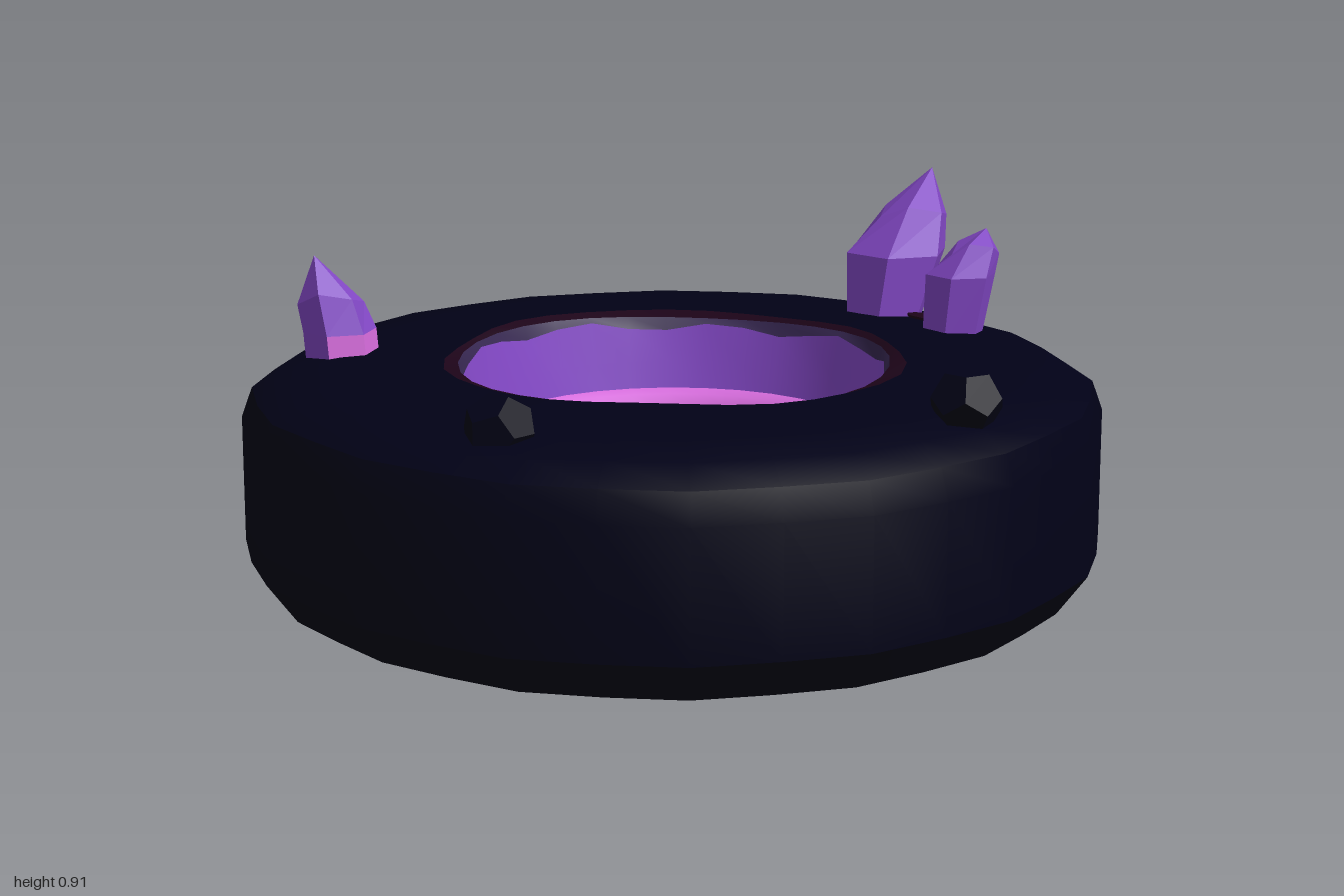
import * as THREE from 'three';
import { toCreasedNormals } from 'three/addons/utils/BufferGeometryUtils.js';

const SEGMENTS = 32;

function material(name, color) {
  const m = new THREE.MeshStandardMaterial({ color });
  m.name = name;
  return m;
}

// Smooth bump around a direction on the ring, 1 at its centre.
function bump(angle, centre, width) {
  const d = Math.atan2(Math.sin(angle - centre), Math.cos(angle - centre));
  return Math.exp(-((d / width) ** 2));
}

// Radius of the sloping lower wall at a height.
const wallRadius = (y) => 0.399 + 0.09 * y;

// Uneven, hand-hewn surface: faceted outside, ragged paint borders, slight waviness.
function weather(geometry) {
  const p = geometry.attributes.position;
  for (let i = 0; i < p.count; i++) {
    const x = p.getX(i), y = p.getY(i), z = p.getZ(i);
    const r = Math.hypot(x, z), a = Math.atan2(x, z);
    let k = 1, dy = 0;
    if (r > 0.7) {
      const corner = Math.round(a / (Math.PI * 2) * SEGMENTS);
      k = (corner % 2 ? 0.988 : 1) + 0.012 * Math.sin(a * 2) ** 2 + 0.006 * Math.sin(a * 4 + 1) * Math.sin(a * 2);
    } else if (y < 0.005) {
      // underside stain borders
      k = 1 + 0.025 * Math.sin(a * 5 + r * 9) + (r < 0.55 ? 0.13 * Math.cos(a) : 0.09 * bump(a, -2.36, 0.5));
    } else if (y > 0.015 && y < 0.035) {
      // dark patch rising up one side of the lower wall
      dy = y > 0.025
        ? 0.2 * bump(a, -2.29, 0.78) + 0.04 * bump(a, 0.7, 0.3)
        : 0.165 * bump(a, -2.29, 0.64) + 0.03 * bump(a, 0.7, 0.3);
      k = wallRadius(y + dy) / r;
    } else if (y > 0.5) {
      // upper rim
      dy = 0.006 * Math.sin(a * 3);
      if (r > 0.51) k = 1 + 0.025 * (Math.sin(a * 3 + 2.2) + 0.6 * Math.sin(a * 7));
      else if (r < 0.5) dy += 0.012 * Math.sin(a * 9);
    }
    p.setXYZ(i, x * k, y + dy, z * k);
  }
  return geometry;
}

// One painted band of the ring, revolved from a profile.
function band(name, mat, profile) {
  const points = profile.map(([r, y]) => new THREE.Vector2(r, y));
  const geo = new THREE.LatheGeometry(points, SEGMENTS);
  const mesh = new THREE.Mesh(toCreasedNormals(weather(geo), 0.6), mat);
  mesh.name = name;
  return mesh;
}

// Six-sided leaning prism lofted through [x, y, z, radius] sections, ending in a tip.
// isStained(section, side) chooses the second material.
function crystal(name, mats, sections, tip, turn, isStained = () => false) {
  const sides = 6, vertices = [], geo = new THREE.BufferGeometry();
  const point = (s, j) => {
    const [x, y, z, r] = sections[s];
    const a = turn + j * Math.PI * 2 / sides;
    const lift = s === sections.length - 1 ? 0.02 * Math.sin(a * 2) : 0;
    return [x + r * Math.sin(a), y + lift, z + r * Math.cos(a)];
  };
  for (let s = 0; s < sections.length; s++) {
    for (let j = 0; j < sides; j++) {
      const first = vertices.length / 3;
      const a = point(s, j), b = point(s, j + 1);
      if (s === sections.length - 1) {
        vertices.push(...a, ...b, ...tip);
      } else {
        const c = point(s + 1, j + 1), d = point(s + 1, j);
        vertices.push(...a, ...b, ...c, ...a, ...c, ...d);
      }
      geo.addGroup(first, vertices.length / 3 - first, isStained(s, j) ? 1 : 0);
    }
  }
  geo.setAttribute('position', new THREE.Float32BufferAttribute(vertices, 3));
  geo.computeVertexNormals();
  const mesh = new THREE.Mesh(geo, mats);
  mesh.name = name;
  return mesh;
}

export function createModel() {
  const stone = material('dark stone', 0x010116);
  const plum = material('blackened plum', 0x1c0418);
  const slate = material('dusky slate', 0x1f1a33);
  const dusk = material('dusky purple', 0x35264f);
  const shade = material('shaded purple', 0x56347f);
  const purple = material('crystal purple', 0x8348c6);
  const pink = material('glowing pink', 0xd66cdc);
  const model = new THREE.Group();
  model.name = 'crystalRing';

  // Stone ring and the stained borders of its opening
  model.add(
    band('stoneBody', stone, [[0.58, 0.003], [0.78, 0.012], [0.93, 0.035], [1, 0.13], [1, 0.43],
      [0.975, 0.5], [0.91, 0.543], [0.78, 0.56], [0.535, 0.57]]),
    band('undersideInnerStain', slate, [[0.4, 0.008], [0.5, 0.003]]),
    band('undersideOuterStain', plum, [[0.5, 0.003], [0.58, 0.003]]),
    band('upperRimStain', plum, [[0.535, 0.57], [0.508, 0.56]]),
    band('upperRimDusk', dusk, [[0.508, 0.56], [0.496, 0.538]]),
  );

  // Opening: sloping upper wall, lip and lower wall with its dark patch
  model.add(
    band('upperWall', purple, [[0.496, 0.538], [0.475, 0.45], [0.46, 0.385]]),
    band('glowingLip', pink, [[0.46, 0.385], [0.435, 0.375], [0.412, 0.345], [0.408, 0.31], [0.425, 0.29]]),
    band('lowerWall', purple, [[0.425, 0.29], [wallRadius(0.03), 0.03]]),
    band('lowerWallShade', shade, [[wallRadius(0.03), 0.03], [wallRadius(0.02), 0.02]]),
    band('lowerWallDusk', dusk, [[wallRadius(0.02), 0.02], [0.4, 0.008]]),
  );

  // Crystals
  const mats = [purple, pink];
  model.add(
    crystal('largeCrystal', mats,
      [[0, 0.54, -0.78, 0.1], [0, 0.71, -0.825, 0.133], [0.01, 0.81, -0.88, 0.09]],
      [0.02, 0.91, -0.94], Math.PI / 6),
    crystal('mediumCrystal', mats,
      [[0.265, 0.54, -0.72, 0.075], [0.28, 0.7, -0.73, 0.088], [0.298, 0.765, -0.765, 0.06]],
      [0.31, 0.808, -0.79], 0.4),
    crystal('smallCrystal', mats,
      [[-0.64, 0.53, 0.47, 0.088], [-0.65, 0.61, 0.47, 0.088], [-0.675, 0.69, 0.475, 0.08]],
      [-0.69, 0.79, 0.51], 0.5, (s, j) => s === 0 && j < 3),
  );

  // Small stones on top
  for (const [x, y, z, tilt] of [[0.85, 0.59, -0.02, 0.554], [0.22, 0.565, 0.78, 0]]) {
    const smallStone = new THREE.Mesh(new THREE.DodecahedronGeometry(0.083), stone);
    smallStone.name = 'smallStone';
    smallStone.position.set(x, y, z);
    smallStone.rotation.x = tilt;
    model.add(smallStone);
  }

  // Thin stain between the two rear crystals
  const stain = new THREE.Mesh(new THREE.CylinderGeometry(0.05, 0.05, 0.006, 9), plum);
  stain.name = 'crystalStain';
  stain.position.set(0.16, 0.568, -0.76);
  stain.scale.set(1.3, 1, 0.6);
  model.add(stain);
  return model;
}
